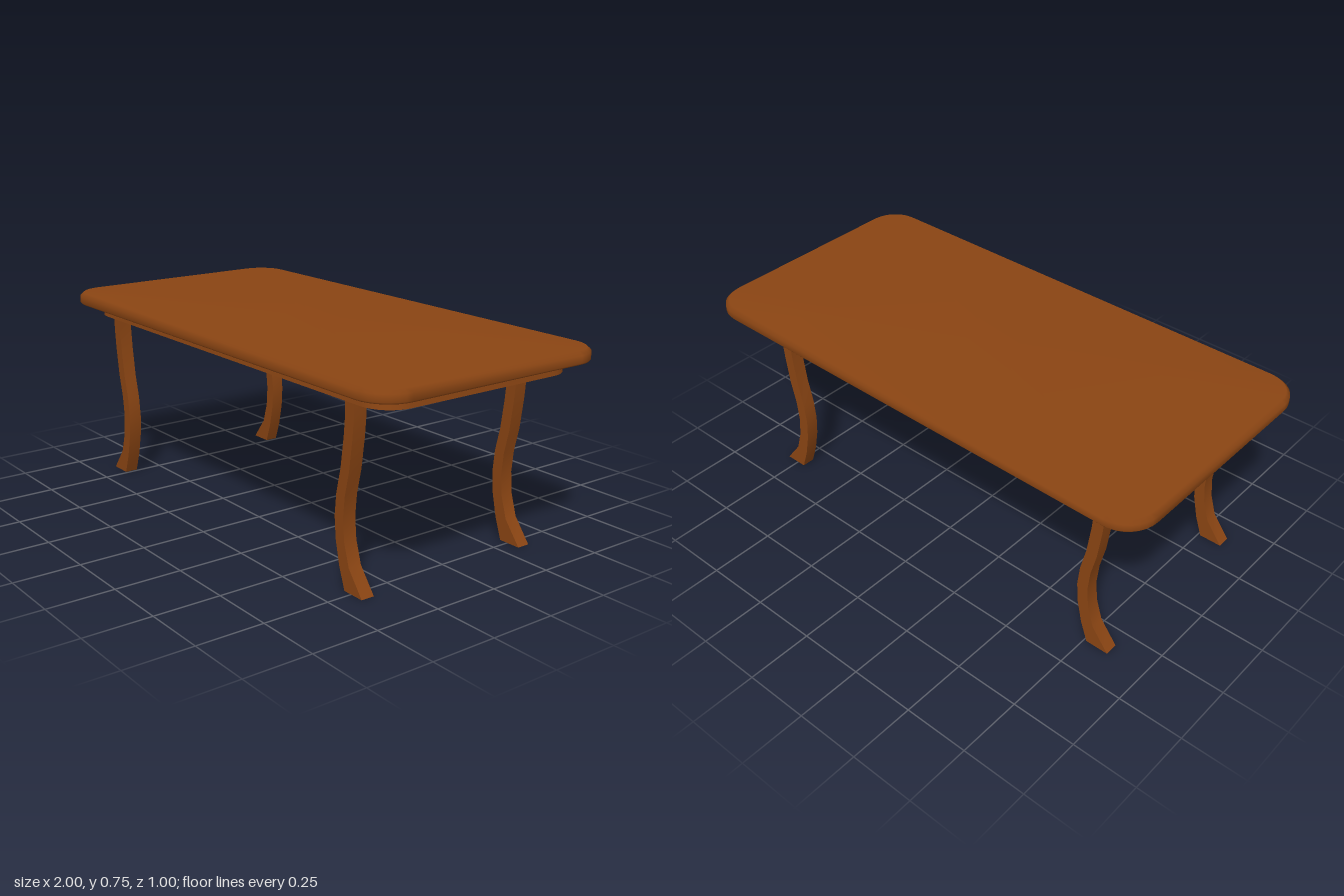
import * as THREE from 'three';
import { toCreasedNormals } from 'three/addons/utils/BufferGeometryUtils.js';

const CORNER_STEPS = 8;

// Rounded rectangle outline at height y, running from +x towards +z
function outline(halfX, halfZ, radius, y) {
  const points = [];
  const corners = [[1, 1], [-1, 1], [-1, -1], [1, -1]];
  corners.forEach(([sx, sz], quarter) => {
    for (let i = 0; i <= CORNER_STEPS; i++) {
      const a = (quarter + i / CORNER_STEPS) * Math.PI / 2;
      points.push([
        sx * (halfX - radius) + Math.cos(a) * radius,
        y,
        sz * (halfZ - radius) + Math.sin(a) * radius,
      ]);
    }
  });
  return points;
}

// Skin joining successive outlines; a single-point outline closes an end
function loft(rings) {
  const positions = [], index = [], starts = [];
  for (const ring of rings) {
    starts.push(positions.length / 3);
    ring.forEach(p => positions.push(...p));
  }
  for (let r = 0; r < rings.length - 1; r++) {
    const n = Math.max(rings[r].length, rings[r + 1].length);
    for (let i = 0; i < n; i++) {
      const at = (k, j) => starts[k] + (j % rings[k].length);
      const a = at(r, i), b = at(r, i + 1), c = at(r + 1, i + 1), d = at(r + 1, i);
      if (a !== b) index.push(a, c, b);
      if (c !== d) index.push(a, d, c);
    }
  }
  const geometry = new THREE.BufferGeometry();
  geometry.setAttribute('position', new THREE.Float32BufferAttribute(positions, 3));
  geometry.setIndex(index);
  return geometry;
}

// The back edge runs in slightly towards the model's left
function taperBack(geometry) {
  const p = geometry.attributes.position;
  for (let i = 0; i < p.count; i++) {
    const z = p.getZ(i);
    if (z < 0) p.setZ(i, z * (1 - 0.01 * (p.getX(i) + 1)));
  }
  geometry.computeVertexNormals();
  return geometry;
}

export function createModel() {
  const model = new THREE.Group();
  model.name = 'table';
  const wood = new THREE.MeshStandardMaterial({ color: 0x8b4513 });
  wood.name = 'brown wood';
  const add = (geometry, name) => {
    const mesh = new THREE.Mesh(geometry, wood);
    mesh.name = name;
    model.add(mesh);
    return mesh;
  };

  // Table top: softly shaded slab with a bevelled upper edge
  add(taperBack(loft([
    outline(0.995, 0.495, 0.12, 0.705),
    outline(1, 0.5, 0.125, 0.711),
    outline(1, 0.5, 0.125, 0.737),
    outline(0.985, 0.485, 0.11, 0.75),
    [[0, 0.75, 0]],
  ])), 'tableTop');

  // Flat underside
  add(taperBack(loft([
    [[0, 0.705, 0]],
    outline(0.995, 0.495, 0.12, 0.705),
  ])), 'tableUnderside');

  // Thin flared apron, open underneath
  const apron = loft([
    outline(0.903, 0.403, 0.09, 0.706),
    outline(0.908, 0.409, 0.095, 0.66),
    outline(0.926, 0.427, 0.11, 0.66),
    outline(0.92, 0.421, 0.105, 0.706),
  ]);
  add(toCreasedNormals(apron, 0.6), 'apron');

  // Curved leg profile, on the model's right, foot pointing outwards
  const profile = [
    [-0.85, 0], [-0.76, 0], [-0.732, 0.08], [-0.712, 0.17], [-0.706, 0.25],
    [-0.714, 0.33], [-0.735, 0.42], [-0.75, 0.53], [-0.757, 0.61], [-0.755, 0.706],
    [-0.8, 0.706], [-0.801, 0.61], [-0.794, 0.53], [-0.779, 0.42], [-0.758, 0.33],
    [-0.75, 0.25], [-0.757, 0.17], [-0.782, 0.088],
  ];
  const middle = -0.0225;
  for (const [side, sideName] of [[-1, 'Right'], [1, 'Left']]) {
    const points = profile.map(([x, y]) =>
      new THREE.Vector2(side < 0 ? x : 2 * middle - x, y));
    const leg = toCreasedNormals(new THREE.ExtrudeGeometry(new THREE.Shape(points), {
      depth: 0.051, bevelEnabled: false,
    }), 0.5);
    for (const [z, endName] of [[0.353, 'front'], [-0.369, 'back']]) {
      add(leg, endName + sideName + 'Leg').position.z = z;
    }
  }
  return model;
}
